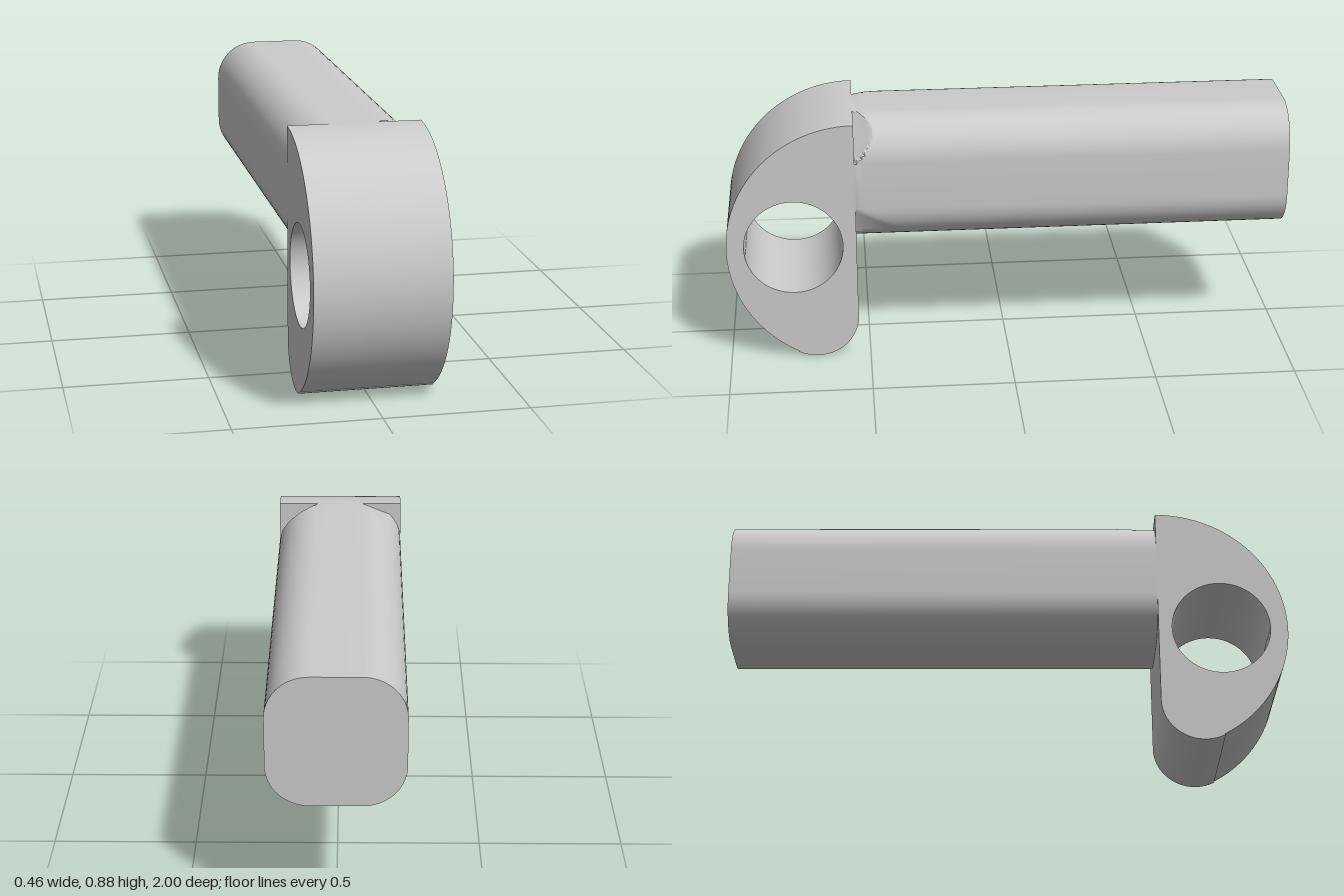
import * as THREE from 'three';
import { toCreasedNormals } from 'three/addons/utils/BufferGeometryUtils.js';

const material = new THREE.MeshStandardMaterial({ color: 0xcccccc });
const HALF = 0.23, MID = 0.655, JOINT = 0.54;

function addPart(group, name, geometry) {
  const mesh = new THREE.Mesh(toCreasedNormals(geometry, 0.4), material);
  mesh.name = name;
  group.add(mesh);
}

// Rounded eye plate with a cross hole, drawn in the z-y plane
function eyeGeometry() {
  const shape = new THREE.Shape();
  const join = -1.08;
  shape.moveTo(JOINT, 0.885);
  shape.absarc(JOINT, 0.425, 0.46, Math.PI / 2, join, true);
  shape.absarc(0.69, 0.15, 0.15, join, -Math.PI, true);
  shape.closePath();
  const hole = new THREE.Path();
  hole.absarc(0.763, 0.43, 0.175, 0, Math.PI * 2, false);
  shape.holes.push(hole);
  const geometry = new THREE.ExtrudeGeometry(shape, {
    depth: HALF * 2, bevelEnabled: false, curveSegments: 48,
  });
  return geometry.translate(0, 0, -HALF).rotateY(-Math.PI / 2);
}

// Radius of a rounded corner, cut flat by small notches next to the eye
function cornerRadius(corner, s, z, r) {
  const phi = Math.abs(s) * Math.PI / 4;
  if (corner === 0) {
    const h = Math.sqrt(Math.max(0, (z - 0.475) / 0.065)) * Math.PI / 4;
    return phi < h ? r * Math.cos(h) / Math.cos(phi) : r;
  }
  const cutSide = (corner === 1 && s <= 0) || (corner === 3 && s >= 0);
  const h = Math.max(0, (z - 0.35) / 0.19) * Math.PI / 4;
  return cutSide && phi < h ? r * Math.cos(h / 2) / Math.cos(phi - h / 2) : r;
}

// Shaft lofted along z from rounded-square rings
function shaftGeometry() {
  const r = 0.145, inset = HALF - r, steps = 16;
  const levels = [-1, 0.35];
  for (let i = 1; i <= 20; i++) levels.push(0.35 + (JOINT - 0.35) * i / 20);
  const positions = [], indices = [];
  for (const z of levels) {
    for (let corner = 0; corner < 4; corner++) {
      const cx = corner === 0 || corner === 3 ? inset : -inset;
      const cy = MID + (corner < 2 ? inset : -inset);
      for (let i = 0; i <= steps; i++) {
        const angle = (corner + i / steps) * Math.PI / 2;
        const radius = cornerRadius(corner, i / steps * 2 - 1, z, r);
        positions.push(cx + radius * Math.cos(angle), cy + radius * Math.sin(angle), z);
      }
    }
  }
  const n = 4 * (steps + 1);
  for (let j = 0; j < levels.length - 1; j++) {
    for (let i = 0; i < n; i++) {
      const a = j * n + i, b = j * n + (i + 1) % n;
      indices.push(a, b, b + n, a, b + n, a + n);
    }
  }
  // End cap
  const center = positions.length / 3;
  positions.push(0, MID, -1);
  for (let i = 0; i < n; i++) indices.push(center, (i + 1) % n, i);

  const geometry = new THREE.BufferGeometry();
  geometry.setAttribute('position', new THREE.Float32BufferAttribute(positions, 3));
  geometry.setIndex(indices);
  geometry.computeVertexNormals();
  return geometry;
}

export function createModel() {
  const group = new THREE.Group();
  group.name = 'eyeEndPin';
  addPart(group, 'eye', eyeGeometry());
  addPart(group, 'shaft', shaftGeometry());
  return group;
}
